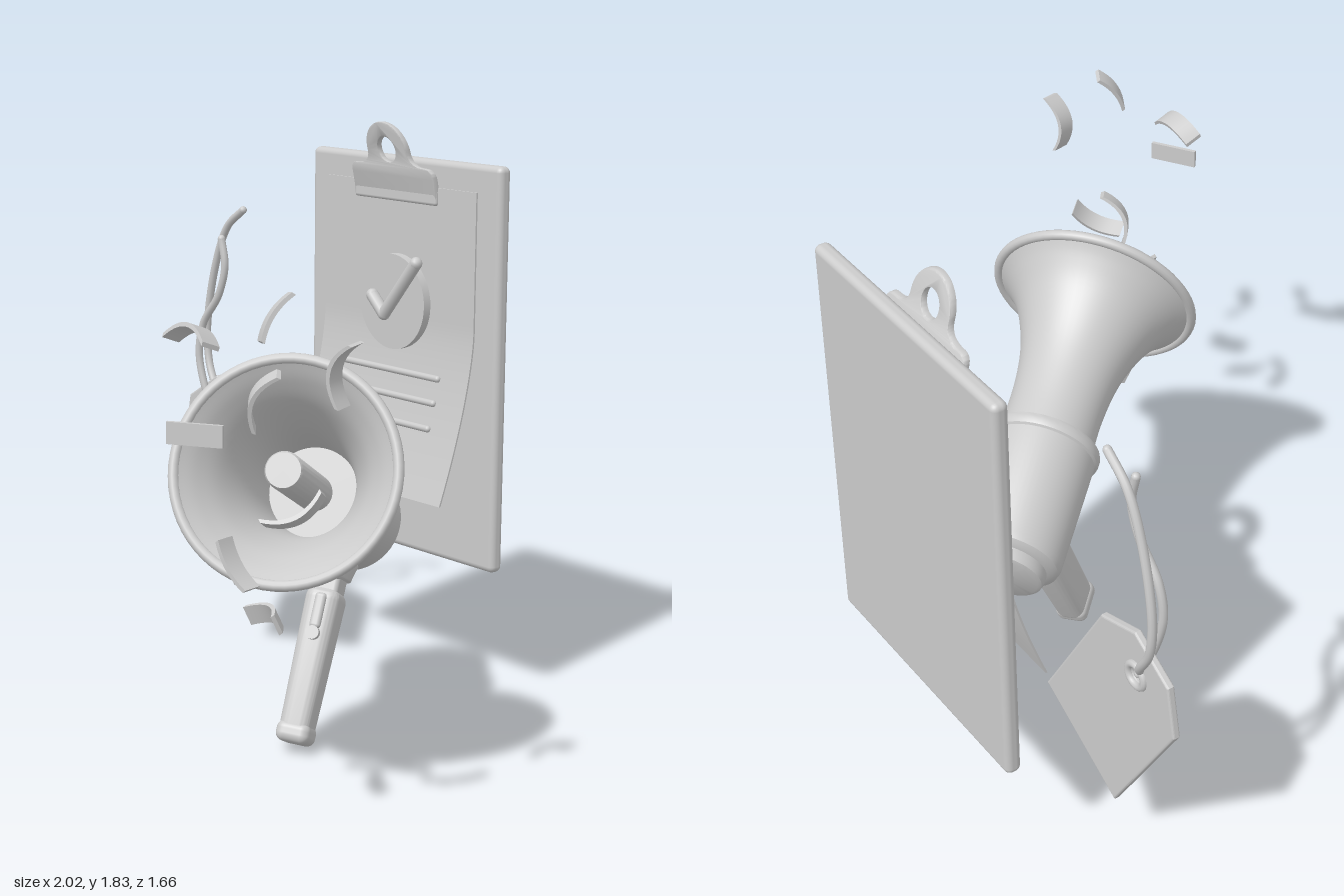
import * as THREE from 'three';
import { toCreasedNormals } from 'three/addons/utils/BufferGeometryUtils.js';
import { RoundedBoxGeometry } from 'three/addons/geometries/RoundedBoxGeometry.js';

const V = (x, y, z) => new THREE.Vector3(x, y, z);
const P = (x, y) => new THREE.Vector2(x, y);
const grey = new THREE.MeshStandardMaterial({ color: 0xcccccc, side: THREE.DoubleSide });

function add(parent, name, geometry, x = 0, y = 0, z = 0) {
  const mesh = new THREE.Mesh(geometry, grey);
  mesh.name = name;
  mesh.position.set(x, y, z);
  parent.add(mesh);
  return mesh;
}

function group(parent, name) {
  const g = new THREE.Group();
  g.name = name;
  parent.add(g);
  return g;
}

// Moves every vertex of a geometry by a rule
function warp(geometry, rule) {
  const pos = geometry.attributes.position;
  const v = V(0, 0, 0);
  for (let i = 0; i < pos.count; i++) {
    v.fromBufferAttribute(pos, i);
    rule(v);
    pos.setXYZ(i, v.x, v.y, v.z);
  }
  geometry.computeVertexNormals();
  return toCreasedNormals(geometry, 0.6);
}

// Round-ended rod along a smooth path
function rod(parent, name, points, radius) {
  const g = group(parent, name);
  const path = new THREE.CatmullRomCurve3(points);
  add(g, name + 'Tube', new THREE.TubeGeometry(path, points.length * 10, radius, 10));
  for (const p of [points[0], points[points.length - 1]])
    add(g, name + 'End', new THREE.SphereGeometry(radius, 12, 8), p.x, p.y, p.z);
}

// Solid of revolution about the local z axis
const spin = (points) => toCreasedNormals(new THREE.LatheGeometry(points, 56).rotateX(Math.PI / 2), 0.6);

function clipboard(root) {
  const g = group(root, 'clipboard');
  add(g, 'board', new RoundedBoxGeometry(0.9, 1.29, 0.05, 3, 0.02), -0.2, 1.085, -0.805);

  // Sheet curling forward towards its foot
  const paperZ = (y) => -0.768 + 0.133 * Math.pow(Math.max(0, 1.2 - y) / 0.535, 1.5);
  const sheet = new THREE.BoxGeometry(0.72, 0.98, 0.006, 1, 32, 1).translate(-0.2, 1.155, 0);
  add(g, 'paper', warp(sheet, (v) => { v.z += paperZ(v.y); }));

  // Tick badge
  const disc = new THREE.CylinderGeometry(0.155, 0.155, 0.03, 48).rotateX(Math.PI / 2);
  add(g, 'badge', disc, -0.195, 1.265, -0.752);
  const corner = V(-0.21, 1.225, -0.718);
  rod(g, 'tickShort', [V(-0.268, 1.28, -0.718), corner], 0.021);
  rod(g, 'tickLong', [corner, V(-0.06, 1.405, -0.718)], 0.021);

  for (const y of [1.042, 0.965, 0.885])
    rod(g, 'textLine', [V(-0.43, y, paperZ(y) + 0.006), V(0.025, y, paperZ(y) + 0.006)], 0.011);

  // Spring clip with a hanging loop, bent forward
  const s = new THREE.Shape();
  s.moveTo(-0.19, 1.6);
  s.lineTo(0.19, 1.6);
  s.lineTo(0.19, 1.67);
  s.quadraticCurveTo(0.19, 1.7, 0.16, 1.7);
  s.quadraticCurveTo(0.09, 1.7, 0.09, 1.75);
  s.absarc(0, 1.75, 0.09, 0, Math.PI);
  s.quadraticCurveTo(-0.09, 1.7, -0.16, 1.7);
  s.quadraticCurveTo(-0.19, 1.7, -0.19, 1.67);
  s.holes.push(new THREE.Path().absarc(0, 1.755, 0.045, 0, Math.PI * 2, true));
  const clip = new THREE.ExtrudeGeometry(s, {
    depth: 0.012, bevelThickness: 0.005, bevelSize: 0.004, bevelSegments: 2, curveSegments: 20 });
  add(g, 'clip', warp(clip, (v) => { v.z += Math.max(0, v.y - 1.62) * 0.31; }), -0.208, 0, -0.775);
  add(g, 'clipJaw', new RoundedBoxGeometry(0.39, 0.05, 0.03, 2, 0.01), -0.208, 1.613, -0.768);
}

function priceTag(root) {
  const g = group(root, 'tag');
  g.position.set(-0.56, 0.335, -0.512);
  g.rotation.z = 0.532;
  const s = new THREE.Shape([P(-0.19, 0.005), P(0.19, 0.005), P(0.19, 0.54), P(0.085, 0.66), P(-0.085, 0.66), P(-0.19, 0.54)]);
  s.holes.push(new THREE.Path().absarc(0.005, 0.545, 0.03, 0, Math.PI * 2, true));
  add(g, 'tagCard', new THREE.ExtrudeGeometry(s, {
    depth: 0.012, bevelThickness: 0.006, bevelSize: 0.007, bevelSegments: 3, curveSegments: 16 }), 0, 0, -0.006);
  add(g, 'tagPanel', new THREE.BoxGeometry(0.27, 0.34, 0.008), 0, 0.285, 0.013);
  for (const z of [-0.012, 0.013])
    add(g, 'eyelet', new THREE.TorusGeometry(0.036, 0.012, 10, 28), 0.005, 0.545, z);

  // Discount mark
  for (const [x, y] of [[-0.05, 0.3], [0.05, 0.185]])
    add(g, 'markRing', new THREE.TorusGeometry(0.034, 0.012, 10, 28), x, y, 0.02);
  rod(g, 'markSlash', [V(-0.1, 0.15, 0.02), V(0.11, 0.35, 0.02)], 0.011);

  // Two loose ends of the cord
  rod(root, 'cordBack', [V(-0.825, 0.8, -0.5), V(-0.87, 0.87, -0.54), V(-0.935, 0.98, -0.556), V(-0.945, 1.1, -0.556),
    V(-0.89, 1.32, -0.55), V(-0.82, 1.46, -0.548), V(-0.73, 1.525, -0.545)], 0.013);
  rod(root, 'cordFront', [V(-0.825, 0.8, -0.51), V(-0.845, 0.87, -0.485), V(-0.88, 1.02, -0.472), V(-0.86, 1.13, -0.474),
    V(-0.78, 1.24, -0.48), V(-0.75, 1.34, -0.483), V(-0.765, 1.43, -0.481)], 0.013);
}

function megaphone(root) {
  // Local frame: +z out of the bell, origin at the rim centre
  const g = group(root, 'megaphone');
  const axis = V(0.57, 0.37, 0.73).normalize();
  const side = V(0, 1, 0).cross(axis).normalize();
  const up = axis.clone().cross(side);
  g.quaternion.setFromRotationMatrix(new THREE.Matrix4().makeBasis(side, up, axis));
  g.position.set(0.51, 0.98, 0.275);

  // Double-walled bell
  const outer = new THREE.SplineCurve([P(0.152, -0.6), P(0.147, -0.46), P(0.156, -0.33), P(0.18, -0.22),
    P(0.225, -0.11), P(0.275, -0.04), P(0.318, 0)]).getPoints(32);
  const inner = outer.map((p) => P(p.x - 0.014, p.y + 0.004)).reverse();
  add(g, 'bell', spin([...outer, ...inner]));
  add(g, 'bellRim', new THREE.TorusGeometry(0.318, 0.016, 12, 64));
  add(g, 'throat', new THREE.CylinderGeometry(0.145, 0.145, 0.02, 40).rotateX(Math.PI / 2), 0, 0, -0.42);
  add(g, 'innerHorn', spin([P(0.055, -0.42), P(0.055, 0.012), P(0.05, 0.02), P(0, 0.02)]));

  // Rear housing with collar and end cap
  add(g, 'housing', spin([P(0, -1.03), P(0.115, -1.03), P(0.127, -1.025), P(0.132, -1.012), P(0.132, -0.99),
    P(0.148, -0.985), P(0.162, -0.975), P(0.169, -0.955), P(0.169, -0.6), P(0.176, -0.595), P(0.179, -0.585),
    P(0.179, -0.57), P(0.175, -0.56), P(0.145, -0.557)]));

  // Bracket and grip
  const bracket = new RoundedBoxGeometry(0.13, 0.07, 0.21, 3, 0.015);
  add(g, 'bracket', warp(bracket, (v) => { if (v.y < 0) { v.x *= 0.8; v.z *= 0.8; } }), 0, -0.185, -0.765);
  const grip = group(g, 'grip');
  grip.position.set(0, -0.215, -0.76);
  grip.rotation.set(-0.04, 0, -0.128);
  add(grip, 'gripNeck', new RoundedBoxGeometry(0.085, 0.08, 0.12, 3, 0.015), 0, -0.015, 0);
  const handle = new RoundedBoxGeometry(0.11, 0.47, 0.165, 5, 0.036);
  add(grip, 'handle', warp(handle, (v) => {
    const k = 0.86 + 0.3 * v.y;
    v.x *= k + 0.06;
    v.z *= k;
  }), 0, -0.268, 0);
  add(grip, 'handleFoot', new RoundedBoxGeometry(0.105, 0.065, 0.135, 4, 0.026), 0, -0.482, 0.003);
  add(grip, 'triggerGuide', new RoundedBoxGeometry(0.035, 0.11, 0.03, 3, 0.012), 0, -0.11, 0.072);
  add(grip, 'trigger', new THREE.CylinderGeometry(0.021, 0.021, 0.04, 20).rotateX(Math.PI / 2), 0, -0.18, 0.076);
}

// Bent paper strip: centre, length vector, rough width direction, bend height
function confetti(parent, centre, along, width, bend) {
  const length = along.length();
  const strip = new THREE.BoxGeometry(length, 0.012, 0.058, 12, 1, 1);
  const geometry = warp(strip, (v) => { v.y += bend * (0.5 - (2 * v.x / length) ** 2); });
  const x = along.clone().normalize();
  const y = width.clone().cross(x).normalize();
  const mesh = add(parent, 'confettiStrip', geometry, centre.x, centre.y, centre.z);
  mesh.quaternion.setFromRotationMatrix(new THREE.Matrix4().makeBasis(x, y, x.clone().cross(y)));
}

export function createModel() {
  const root = new THREE.Group();
  root.name = 'promotionSet';
  clipboard(root);
  priceTag(root);
  megaphone(root);

  const c = group(root, 'confetti');
  confetti(c, V(0.62, 1.42, 0.67), V(0.17, 0, 0), V(0, 0.35, 0.94), 0.04);
  confetti(c, V(0.83, 1.485, 0.57), V(0.025, 0.12, -0.08), V(0.7, 0.1, 0.4), 0.015);
  confetti(c, V(0.955, 1.345, 0.45), V(0.05, 0.17, 0), V(0.3, 0, 0.95), 0.045);
  confetti(c, V(0.775, 1.198, 0.78), V(0.13, 0, -0.08), V(0, 1, 0), 0);
  confetti(c, V(0.88, 0.975, 0.54), V(0.1, 0.08, -0.12), V(0.5, 0.4, 0.6), -0.035);
  confetti(c, V(0.555, 1.205, 0.4), V(0.07, 0.16, -0.03), V(0.6, -0.2, 0.5), 0.04);
  confetti(c, V(0.605, 0.61, 0.41), V(0.16, 0.015, 0.03), V(0, 0.9, 0.4), 0.035);
  confetti(c, V(0.735, 0.82, 0.62), V(0.09, -0.12, -0.02), V(0.2, 0, 0.95), -0.015);
  return root;
}
